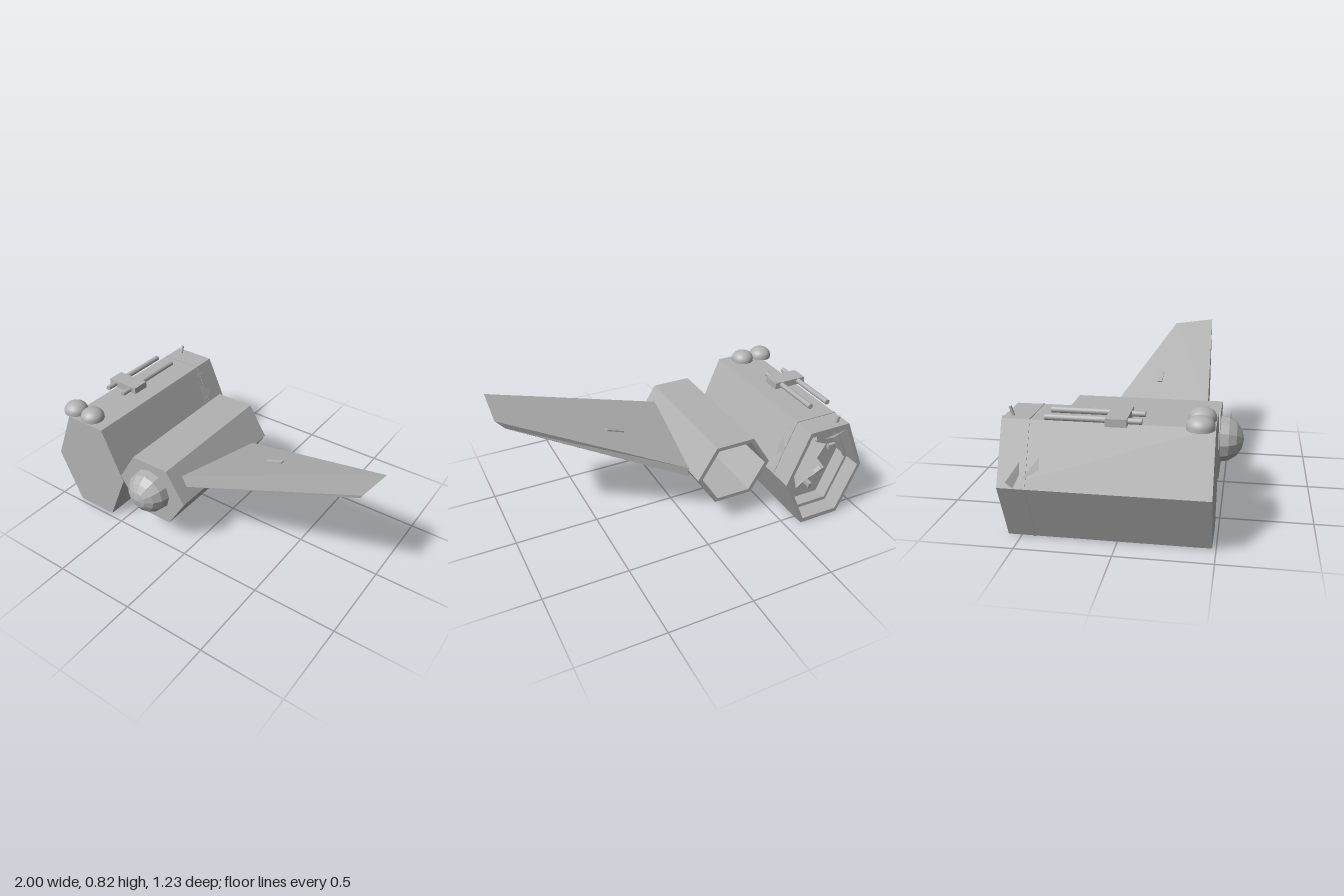
import * as THREE from 'three';

export function createModel() {
  const model = new THREE.Group();
  const hullGrey = new THREE.MeshStandardMaterial({ color: 0xb2b2b2, flatShading: true, side: THREE.DoubleSide });
  const smoothGrey = new THREE.MeshStandardMaterial({ color: 0xb2b2b2 });

  function add(name, geometry, x = 0, y = 0, z = 0, material = hullGrey, parent = model) {
    const mesh = new THREE.Mesh(geometry, material);
    mesh.name = name;
    mesh.position.set(x, y, z);
    parent.add(mesh);
    return mesh;
  }

  // Outline of a hexagon with flat top and bottom, scaled about its centre
  const hexagon = (h, s = 1) => [[-h.flat, -h.tall], [h.flat, -h.tall], [h.wide, 0], [h.flat, h.tall], [-h.flat, h.tall], [-h.wide, 0]]
    .map(([x, y]) => new THREE.Vector2(h.x + x * s, h.y + y * s));

  // Prism between two z values, with an optional hole
  function prism(outer, hole, z0, z1) {
    const shape = new THREE.Shape(outer);
    if (hole) shape.holes.push(new THREE.Path(hole));
    return new THREE.ExtrudeGeometry(shape, { depth: z1 - z0, bevelEnabled: false }).translate(0, 0, z0);
  }

  // Closed skin over matching loops of points
  function loft(loops) {
    const n = loops[0].length, index = [];
    for (let r = 0; r < loops.length - 1; r++) {
      for (let i = 0; i < n; i++) {
        const a = r * n + i, b = r * n + (i + 1) % n;
        index.push(a, b, a + n, b, b + n, a + n);
      }
    }
    for (let i = 1; i < n - 1; i++) {
      const e = (loops.length - 1) * n;
      index.push(0, i + 1, i, e, e + i, e + i + 1);
    }
    const g = new THREE.BufferGeometry();
    g.setAttribute('position', new THREE.Float32BufferAttribute(loops.flat(2), 3));
    g.setIndex(index);
    const flat = g.toNonIndexed();
    flat.computeVertexNormals();
    return flat;
  }

  // Main hull: hollow hexagonal body, closed at the front and open at the back
  const main = { x: -0.725, y: 0.325, flat: 0.13, tall: 0.315, wide: 0.264 };
  add('mainHull', prism(hexagon(main), hexagon(main, 0.91), -0.57, 0.46));
  add('mainHullNose', prism(hexagon(main), null, 0.46, 0.48));
  add('hullSeamRing', prism(hexagon(main, 1.012), hexagon(main, 0.95), -0.434, -0.426));
  add('rearInnerFrame', prism(hexagon(main, 0.93), hexagon(main, 0.84), -0.47, -0.45));

  // Torn bulkhead inside the hull
  const tear = [];
  for (let i = 0; i < 14; i++) {
    const a = i / 14 * Math.PI * 2, r = [0.13, 0.17, 0.1, 0.18, 0.14][i % 5];
    tear.push(new THREE.Vector2(main.x + Math.cos(a) * r, main.y - 0.03 + Math.sin(a) * r * 1.15));
  }
  add('tornBulkhead', prism(hexagon(main, 0.93), tear, -0.37, -0.36));

  // Loose bits hanging in the rear bay
  [[-0.85, 0.42, -0.45], [-0.64, 0.45, -0.43], [-0.7, 0.2, -0.46], [-0.8, 0.24, -0.42], [-0.73, 0.5, -0.44]].forEach(([x, y, z], i) => {
    add('rearDebris', new THREE.BoxGeometry(0.05, 0.03, 0.02), x, y, z).rotation.set(i * 0.5, i * 0.8, i);
  });

  // Bent shards around the damaged rear skin
  function shard(points) {
    const g = new THREE.BufferGeometry();
    g.setAttribute('position', new THREE.Float32BufferAttribute(points.flat(), 3));
    g.computeVertexNormals();
    add('skinShard', g);
  }
  shard([[-0.545, 0.55, -0.38], [-0.5, 0.42, -0.38], [-0.505, 0.48, -0.46]]);
  shard([[-0.575, 0.62, -0.39], [-0.56, 0.585, -0.39], [-0.56, 0.605, -0.45]]);
  shard([[-0.965, 0.42, -0.36], [-0.94, 0.48, -0.36], [-0.995, 0.38, -0.44]]);
  shard([[-0.98, 0.3, -0.46], [-0.95, 0.45, -0.46], [-0.997, 0.36, -0.52]]);
  shard([[-0.83, 0.6, -0.57], [-0.69, 0.58, -0.57], [-0.72, 0.61, -0.615]]);

  // Bent aerial on the rear edge
  add('aerial', new THREE.CylinderGeometry(0.008, 0.008, 0.075, 8), -0.8, 0.65, -0.53).rotation.x = -0.3;

  // Twin sensor domes on the deck
  const domeProfile = [[0.07, 0], [0.07, 0.015]];
  for (let i = 1; i <= 8; i++) {
    const a = i / 8 * Math.PI / 2;
    domeProfile.push([0.07 * Math.cos(a), 0.015 + 0.052 * Math.sin(a)]);
  }
  const dome = new THREE.LatheGeometry(domeProfile.map(([x, y]) => new THREE.Vector2(Math.max(x, 0), y)), 24);
  for (const x of [-0.865, -0.73]) add('sensorDome', dome, x, 0.638, 0.408, smoothGrey);

  // Twin rods held by a cross block
  add('rodMount', new THREE.BoxGeometry(0.21, 0.04, 0.105), -0.805, 0.66, 0.01);
  for (const x of [-0.865, -0.745]) {
    const rod = (r, z0, z1) => new THREE.CylinderGeometry(r, r, z1 - z0, 16).rotateX(Math.PI / 2).translate(0, 0, (z0 + z1) / 2);
    add('rearRod', rod(0.016, -0.345, 0), x, 0.662, 0, smoothGrey);
    add('frontRod', rod(0.015, 0, 0.13), x, 0.66, 0, smoothGrey);
  }

  // Side nacelle: open-backed hexagonal tube with a faceted nose ball
  const side = { x: -0.238, y: 0.365, flat: 0.12, tall: 0.187, wide: 0.237 };
  add('nacelle', prism(hexagon(side), hexagon(side, 0.88), -0.357, 0.46));
  add('nacelleNose', prism(hexagon(side), null, 0.46, 0.48));
  add('noseBall', new THREE.SphereGeometry(0.133, 12, 8).rotateX(Math.PI / 2), -0.24, 0.372, 0.477);

  // Swept wing, rising to its tip, with a pointed root inside the nacelle
  const apex = [-0.17, 0.42, 0.02];
  const root = [[-0.08, 0.485, 0.393], [-0.04, 0.43, 0.4], [-0.02, 0.313, 0.06], [0, 0.325, -0.238], [0, 0.38, -0.233]];
  const tip = [[0.99, 0.822, 0.345], [0.98, 0.8, 0.343], [0.93, 0.715, 0.09], [0.95, 0.73, 0.085], [1, 0.785, 0.09]];
  add('wing', loft([root.map(() => apex), root, tip]));

  // Small hatch on the wing
  const hatch = add('wingHatch', new THREE.BoxGeometry(0.11, 0.008, 0.03), 0.33, 0.564, 0.065);
  hatch.rotation.z = 0.34;

  return model;
}
